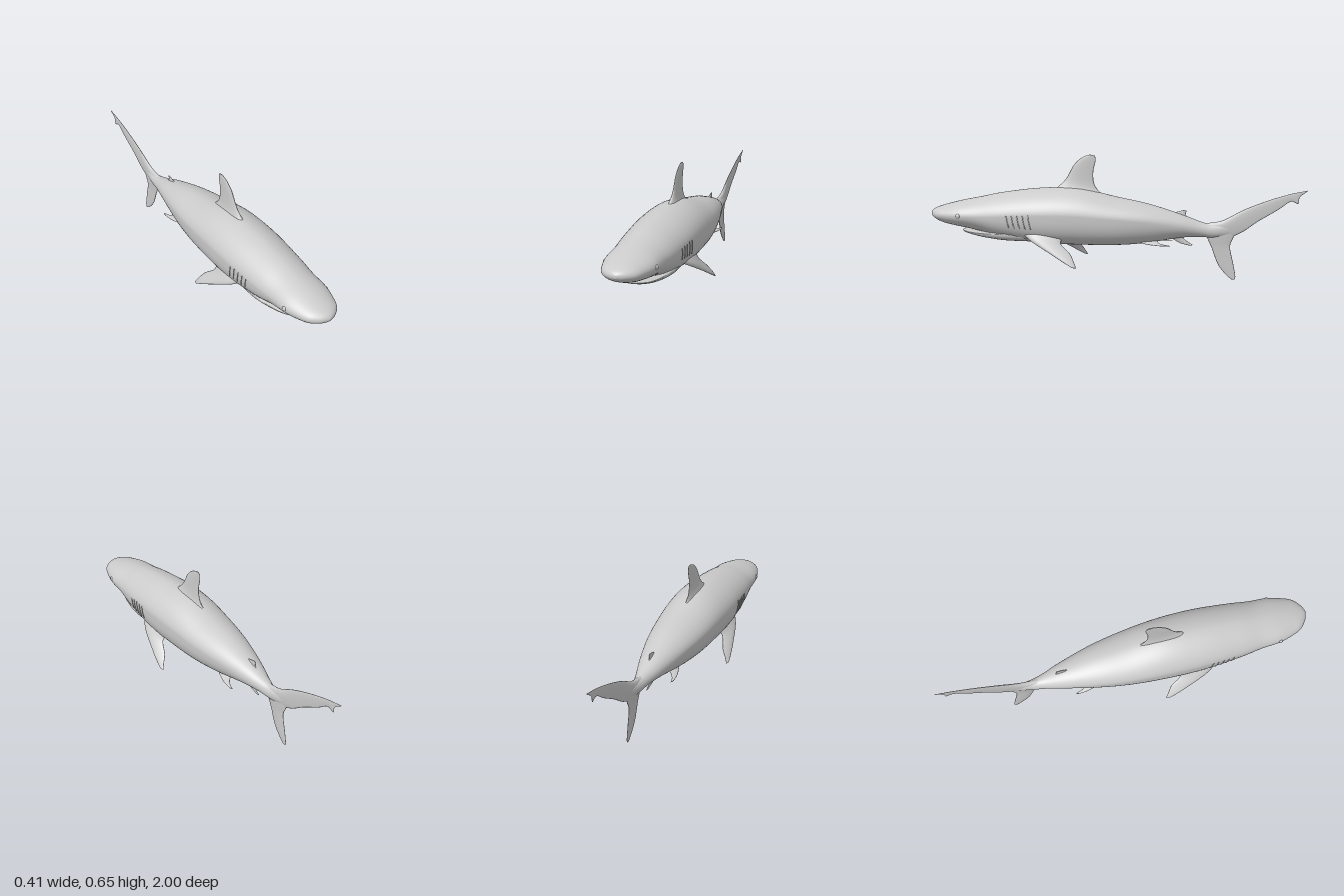
import * as THREE from 'three';

const material = new THREE.MeshStandardMaterial({ color: 0xcccccc, side: THREE.DoubleSide });

// Smooth interpolation through the rows of a table, t in row units
function sample(rows, t) {
  const last = rows.length - 1;
  const i = Math.min(Math.floor(t), last - 1), f = t - i;
  const row = k => rows[Math.max(0, Math.min(last, k))];
  return row(i).map((b, c) => {
    const a = row(i - 1)[c], d = row(i + 1)[c], e = row(i + 2)[c];
    return b + 0.5 * f * (d - a + f * (2 * a - 5 * b + 4 * d - e + f * (3 * (b - d) + e - a)));
  });
}

// Skin over closed rings, with both ends closed and faces turned outward
function loft(ringAt, steps, sides) {
  const rings = [];
  for (let i = 0; i <= steps; i++) {
    rings.push(Array.from({ length: sides }, (_, j) => ringAt(i / steps, (j / sides) * Math.PI * 2)));
  }
  const collapse = ring => {
    const c = ring.reduce((s, p) => s.add(p), new THREE.Vector3()).divideScalar(sides);
    return ring.map(() => c.clone());
  };
  const all = [collapse(rings[0]), ...rings, collapse(rings[steps])];
  const points = all.flat(), index = [];
  for (let i = 0; i < all.length - 1; i++) {
    for (let j = 0; j < sides; j++) {
      const k = (j + 1) % sides;
      const a = i * sides + j, b = i * sides + k, c = a + sides, d = b + sides;
      if (i > 0) index.push(a, c, b);
      else index.push(a, c, d);
      if (i > 0 && i < all.length - 2) index.push(b, c, d);
    }
  }
  let volume = 0;
  const cross = new THREE.Vector3();
  for (let i = 0; i < index.length; i += 3) {
    volume += points[index[i]].dot(cross.crossVectors(points[index[i + 1]], points[index[i + 2]]));
  }
  if (volume < 0) index.reverse();
  const geometry = new THREE.BufferGeometry().setFromPoints(points);
  geometry.setIndex(index);
  geometry.computeVertexNormals();
  return geometry;
}

// Body section: z, top, widest height, bottom, half width, upper and lower roundness
const BODY = [
  [1.0, 0.335, 0.328, 0.32, 0.008, 2, 2],
  [0.985, 0.35, 0.326, 0.305, 0.045, 2, 2],
  [0.95, 0.365, 0.325, 0.286, 0.085, 2, 2],
  [0.9, 0.38, 0.325, 0.27, 0.108, 1.9, 2],
  [0.82, 0.40, 0.325, 0.255, 0.13, 1.85, 2],
  [0.72, 0.42, 0.325, 0.235, 0.136, 1.8, 2.1],
  [0.6, 0.445, 0.33, 0.205, 0.15, 1.75, 2.4],
  [0.4, 0.47, 0.34, 0.18, 0.163, 1.75, 2.7],
  [0.2, 0.472, 0.34, 0.175, 0.16, 1.75, 2.7],
  [0.0, 0.43, 0.325, 0.175, 0.143, 1.8, 2.5],
  [-0.17, 0.395, 0.31, 0.188, 0.115, 1.85, 2.2],
  [-0.34, 0.345, 0.285, 0.218, 0.073, 2, 2],
  [-0.45, 0.305, 0.265, 0.225, 0.04, 2, 2],
  [-0.52, 0.292, 0.255, 0.222, 0.025, 2, 2],
  [-0.62, 0.3, 0.27, 0.24, 0.006, 2, 2],
];

const JAW = [
  [0.825, 0.243, 0.24, 0.237, 0.02, 2, 2],
  [0.81, 0.246, 0.24, 0.23, 0.052, 2, 2],
  [0.77, 0.245, 0.236, 0.218, 0.082, 2, 2],
  [0.69, 0.243, 0.232, 0.202, 0.105, 2, 2.2],
  [0.58, 0.25, 0.232, 0.19, 0.122, 2, 2.4],
  [0.46, 0.24, 0.23, 0.187, 0.12, 2, 2.4],
];

function sectionPoint(rows, t, angle) {
  const [z, top, mid, bottom, width, up, low] = sample(rows, t);
  const c = Math.cos(angle), s = Math.sin(angle), n = s >= 0 ? up : low;
  const x = width * Math.sign(c) * Math.abs(c) ** (2 / n);
  const y = mid + (s >= 0 ? top - mid : bottom - mid) * Math.abs(s) ** (2 / n);
  return new THREE.Vector3(x, y, z);
}

// Fin row: leading x,y,z, trailing x,y,z, half thickness
function finGeometry(rows, normal, mirror = 1) {
  return loft((u, angle) => {
    const r = sample(rows, u * (rows.length - 1));
    const f = (1 - Math.cos(angle)) / 2;
    const bulge = r[6] * Math.sin(angle) * (1.25 - 0.6 * f);
    const p = new THREE.Vector3(r[0], r[1], r[2]).lerp(new THREE.Vector3(r[3], r[4], r[5]), f);
    p.addScaledVector(normal, bulge);
    p.x *= mirror;
    return p;
  }, (rows.length - 1) * 5, 20);
}

// Fins on the centre plane: leading z,y, trailing z,y, half thickness
const CENTRE_FINS = {
  dorsalFin: [
    [0.36, 0.44, 0.03, 0.425, 0.035],
    [0.3, 0.483, 0.085, 0.455, 0.018],
    [0.26, 0.525, 0.113, 0.5, 0.01],
    [0.22, 0.595, 0.117, 0.56, 0.007],
    [0.175, 0.635, 0.105, 0.615, 0.005],
    [0.135, 0.65, 0.108, 0.644, 0.003],
  ],
  secondDorsalFin: [
    [-0.27, 0.335, -0.42, 0.3, 0.015],
    [-0.3, 0.348, -0.4, 0.32, 0.007],
    [-0.335, 0.357, -0.373, 0.338, 0.004],
    [-0.36, 0.364, -0.376, 0.361, 0.002],
  ],
  analFin: [
    [-0.28, 0.235, -0.37, 0.235, 0.012],
    [-0.31, 0.208, -0.365, 0.212, 0.007],
    [-0.345, 0.188, -0.385, 0.196, 0.004],
    [-0.395, 0.176, -0.412, 0.18, 0.002],
  ],
  upperTailLobe: [
    [-0.44, 0.295, -0.46, 0.235, 0.02],
    [-0.555, 0.31, -0.565, 0.215, 0.014],
    [-0.66, 0.365, -0.66, 0.25, 0.008],
    [-0.74, 0.4, -0.745, 0.31, 0.005],
    [-0.82, 0.43, -0.85, 0.375, 0.004],
    [-0.89, 0.452, -0.91, 0.418, 0.003],
    [-0.925, 0.462, -0.95, 0.408, 0.003],
    [-0.95, 0.467, -0.957, 0.442, 0.002],
    [-0.998, 0.477, -0.993, 0.47, 0.001],
  ],
  lowerTailLobe: [
    [-0.47, 0.26, -0.64, 0.29, 0.014],
    [-0.485, 0.22, -0.622, 0.225, 0.011],
    [-0.51, 0.165, -0.605, 0.175, 0.007],
    [-0.543, 0.08, -0.622, 0.09, 0.005],
    [-0.588, 0.023, -0.635, 0.022, 0.003],
    [-0.615, 0.001, -0.632, 0.001, 0.002],
  ],
};

const PECTORAL = [
  [0.11, 0.25, 0.49, 0.1, 0.245, 0.24, 0.03],
  [0.153, 0.205, 0.42, 0.135, 0.2, 0.27, 0.018],
  [0.182, 0.15, 0.32, 0.16, 0.148, 0.217, 0.011],
  [0.197, 0.11, 0.25, 0.184, 0.11, 0.193, 0.007],
  [0.205, 0.083, 0.2, 0.198, 0.079, 0.178, 0.003],
];

const PELVIC = [
  [0.04, 0.212, -0.09, 0.03, 0.215, -0.22, 0.012],
  [0.066, 0.194, -0.16, 0.055, 0.196, -0.235, 0.007],
  [0.084, 0.188, -0.22, 0.074, 0.19, -0.265, 0.004],
  [0.09, 0.186, -0.275, 0.084, 0.187, -0.3, 0.002],
];

export function createModel() {
  const model = new THREE.Group();
  model.name = 'shark';
  const add = (name, geometry) => {
    const mesh = new THREE.Mesh(geometry, material);
    mesh.name = name;
    model.add(mesh);
    return mesh;
  };

  add('body', loft((u, a) => sectionPoint(BODY, u * (BODY.length - 1), a), 84, 48));
  add('lowerJaw', loft((u, a) => sectionPoint(JAW, u * (JAW.length - 1), a), 25, 32));

  const sideways = new THREE.Vector3(1, 0, 0);
  for (const [name, rows] of Object.entries(CENTRE_FINS)) {
    const full = rows.map(([lz, ly, tz, ty, h]) => [0, ly, lz, 0, ty, tz, h]);
    add(name, finGeometry(full, sideways));
  }

  for (const [side, s] of [['left', 1], ['right', -1]]) {
    add(side + 'PectoralFin', finGeometry(PECTORAL, new THREE.Vector3(0.85, 0.5, 0), s));
    add(side + 'PelvicFin', finGeometry(PELVIC, new THREE.Vector3(-0.4, 0.9, 0), s));

    const eye = add(side + 'Eye', new THREE.SphereGeometry(0.013, 16, 12));
    eye.position.set(s * 0.124, 0.327, 0.82);
    eye.scale.x = 0.8;

    // Gill slits laid along the skin
    for (let g = 0; g < 5; g++) {
      const path = [];
      for (let k = 0; k <= 6; k++) {
        const p = sectionPoint(BODY, 6.25 + g * 0.14 + k * 0.012, 0.07 - k * 0.07);
        p.x *= s;
        path.push(p);
      }
      add(side + 'GillSlit' + (g + 1),
        new THREE.TubeGeometry(new THREE.CatmullRomCurve3(path), 12, 0.0025, 6));
    }
  }
  return model;
}
